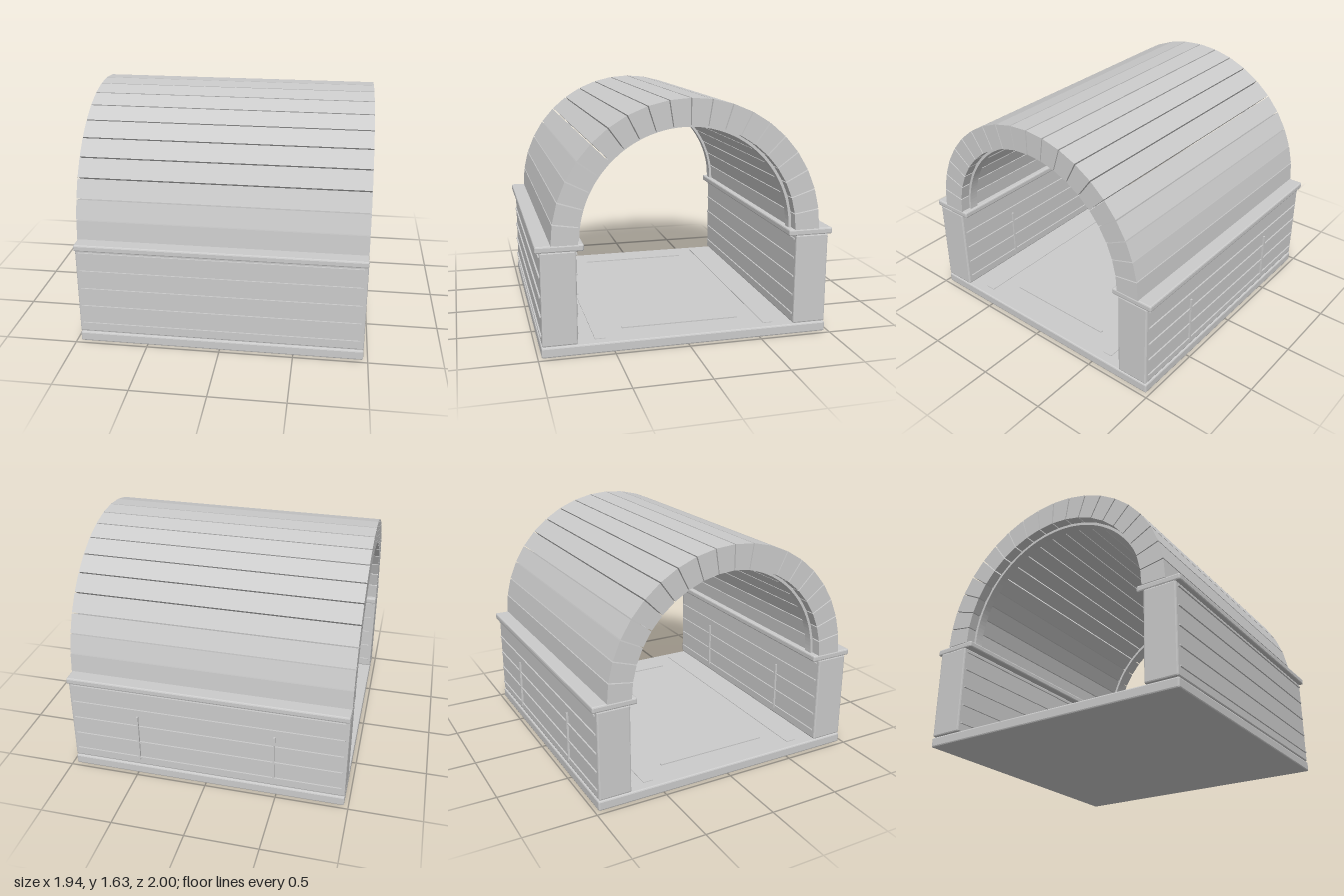
import * as THREE from 'three';
import { RoundedBoxGeometry } from 'three/addons/geometries/RoundedBoxGeometry.js';

export function createModel() {
  const model = new THREE.Group();
  model.name = 'barrelVault';
  const stone = new THREE.MeshStandardMaterial({ color: 0xcccccc, flatShading: true });

  function add(parent, name, geometry, x, y, z) {
    const mesh = new THREE.Mesh(geometry, stone);
    mesh.name = name;
    mesh.position.set(x, y, z);
    parent.add(mesh);
    return mesh;
  }
  const block = (w, h, d, r = 0.01) => new RoundedBoxGeometry(w, h, d, 1, r);
  const box = (w, h, d) => new THREE.BoxGeometry(w, h, d);

  // Extrude a (z, y) outline along x, centred on x = 0
  function alongX(shape, length) {
    const g = new THREE.ExtrudeGeometry(shape, { depth: length, bevelEnabled: false, curveSegments: 40 });
    g.translate(0, 0, -length / 2);
    g.rotateY(Math.PI / 2);
    return g;
  }

  // Floor slab with shallow inlaid strips
  add(model, 'floorSlab', block(1.94, 0.07, 1.95), 0, 0.035, 0);
  for (const s of [-1, 1]) {
    add(model, 'floorCrossStrip', box(0.02, 0.012, 0.82), s * 0.75, 0.072, 0);
    add(model, 'floorLongStrip', box(1.8, 0.01, 0.07), 0, 0.07, s * 0.585);
  }

  // Side walls: body, cap course, and raised joints on both faces
  for (const s of [-1, 1]) {
    const wall = new THREE.Group();
    wall.name = s > 0 ? 'frontWall' : 'backWall';
    wall.position.z = s * 0.855;
    model.add(wall);
    add(wall, 'wallBody', block(1.94, 0.625, 0.23), 0, 0.3875, 0);
    add(wall, 'wallCap', block(1.94, 0.045, 0.31), 0, 0.7175, -s * 0.01);
    for (let i = 0; i < 5; i++) {
      add(wall, 'courseJoint', box(1.89, 0.01, 0.25), 0, 0.142 + i * 0.132, 0);
    }
    // Upright joints sit on the rear-facing side only
    for (const x of [-0.48, 0.48]) {
      add(wall, 'uprightJoint', box(0.012, 0.36, 0.02), x, 0.305, -0.12);
    }
  }

  // Barrel arch: 20 wedge stones separated by narrow open joints
  const arch = new THREE.Group();
  arch.name = 'arch';
  arch.position.y = 0.735;
  model.add(arch);
  const count = 20, step = Math.PI / count, gap = 0.0045, inner = 0.73, outer = 0.9;
  const wedge = new THREE.Shape([[inner, gap], [outer, gap], [outer, step - gap], [inner, step - gap]]
    .map(([r, a]) => new THREE.Vector2(r * Math.cos(a), r * Math.sin(a))));
  const wedgeGeometry = alongX(wedge, 1.94);
  for (let i = 0; i < count; i++) {
    add(arch, 'archStone', wedgeGeometry, 0, 0, 0).rotation.x = i * step;
  }

  // Thin ribs under the arch near each open end
  const rib = new THREE.Shape();
  rib.absarc(0, 0, 0.735, 0, Math.PI, false);
  rib.absarc(0, 0, 0.71, Math.PI, 0, true);
  const ribGeometry = alongX(rib, 0.06);
  for (const s of [-1, 1]) add(arch, 'archRib', ribGeometry, s * 0.87, 0, 0);

  return model;
}
